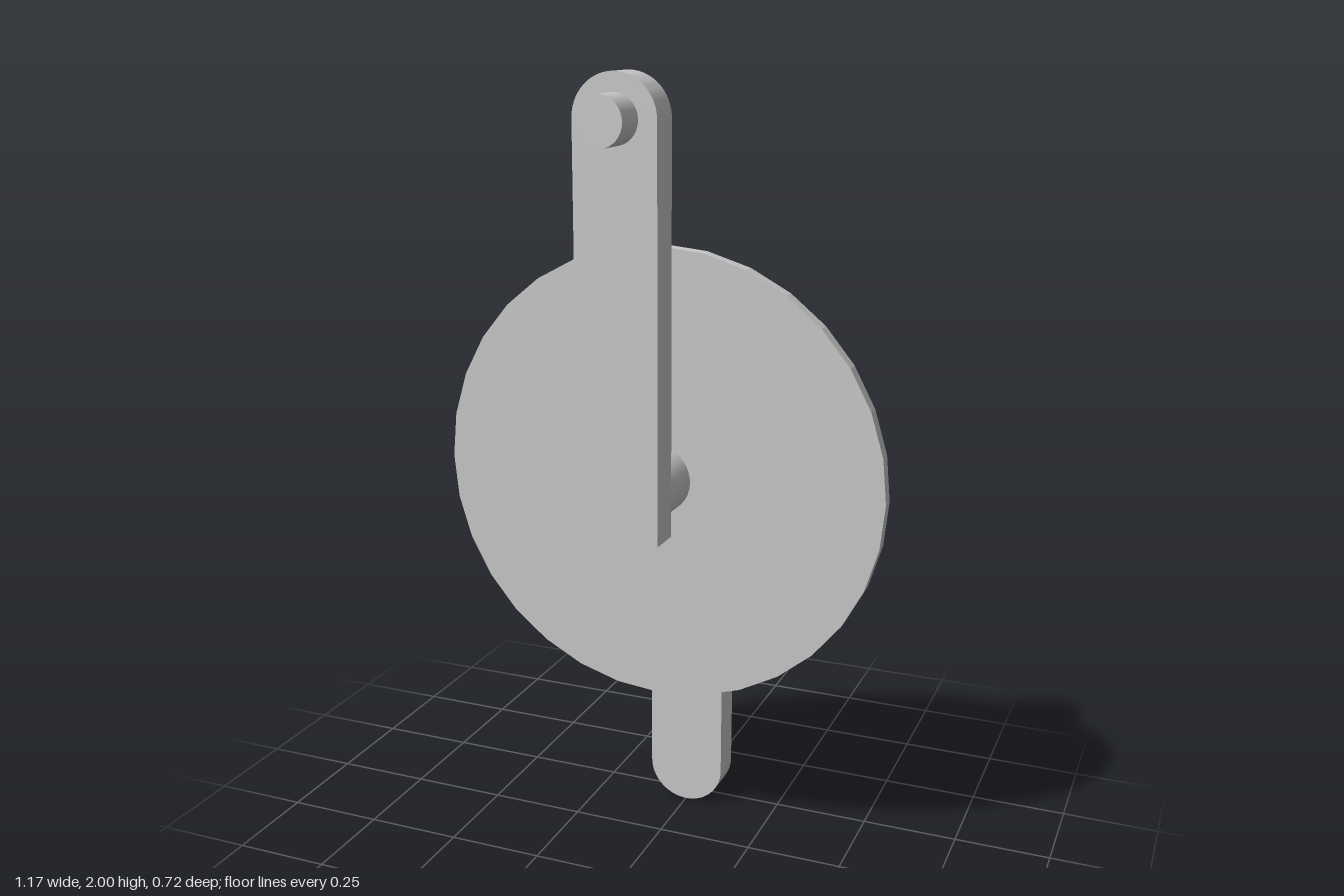
import * as THREE from 'three';
import { toCreasedNormals } from 'three/addons/utils/BufferGeometryUtils.js';

const HUB_Y = 1;
const ARM_INNER = 0.187, ARM_OUTER = 0.273, PIN_END = 0.36;
const ARM_HALF = 0.103, ARM_BASE = -0.086, ARM_END = 1 - ARM_HALF;

const material = new THREE.MeshStandardMaterial({ color: 0xcccccc });
const flatMaterial = new THREE.MeshStandardMaterial({ color: 0xcccccc, flatShading: true });

// Cylinder lying along z from z0 to z1
function rod(name, radius, z0, z1, sides, mat = material) {
  const geometry = new THREE.CylinderGeometry(radius, radius, z1 - z0, sides);
  geometry.rotateX(Math.PI / 2).translate(0, 0, (z0 + z1) / 2);
  const mesh = new THREE.Mesh(geometry, mat);
  mesh.name = name;
  return mesh;
}

// Crank arm: square at the hub, rounded at the pedal end
function armGeometry() {
  const shape = new THREE.Shape();
  shape.moveTo(-ARM_HALF, ARM_BASE);
  shape.lineTo(ARM_HALF, ARM_BASE);
  shape.lineTo(ARM_HALF, ARM_END);
  shape.absarc(0, ARM_END, ARM_HALF, 0, Math.PI, false);
  shape.closePath();
  const geometry = new THREE.ExtrudeGeometry(shape, {
    depth: ARM_OUTER - ARM_INNER, bevelEnabled: false, curveSegments: 16,
  });
  geometry.translate(0, 0, ARM_INNER);
  return toCreasedNormals(geometry, Math.PI / 6);
}

// Arm with its pedal pin, pointing up on the front side
function crank(name) {
  const group = new THREE.Group();
  group.name = name;
  const arm = new THREE.Mesh(armGeometry(), material);
  arm.name = 'crankArm';
  const pin = rod('pedalPin', 0.058, ARM_OUTER, PIN_END, 32);
  pin.position.y = ARM_END;
  group.add(arm, pin);
  return group;
}

export function createModel() {
  const model = new THREE.Group();
  model.name = 'crankset';

  // Axle and flat disc
  const axle = rod('axle', 0.086, -ARM_INNER, ARM_INNER, 32);
  const disc = rod('disc', 0.585, -0.018, 0.018, 32, flatMaterial);

  // Opposed cranks: front one up, rear one down
  const front = crank('frontCrank');
  const rear = crank('rearCrank');
  rear.rotation.x = Math.PI;

  for (const part of [axle, disc, front, rear]) {
    part.position.y = HUB_Y;
    model.add(part);
  }
  return model;
}
